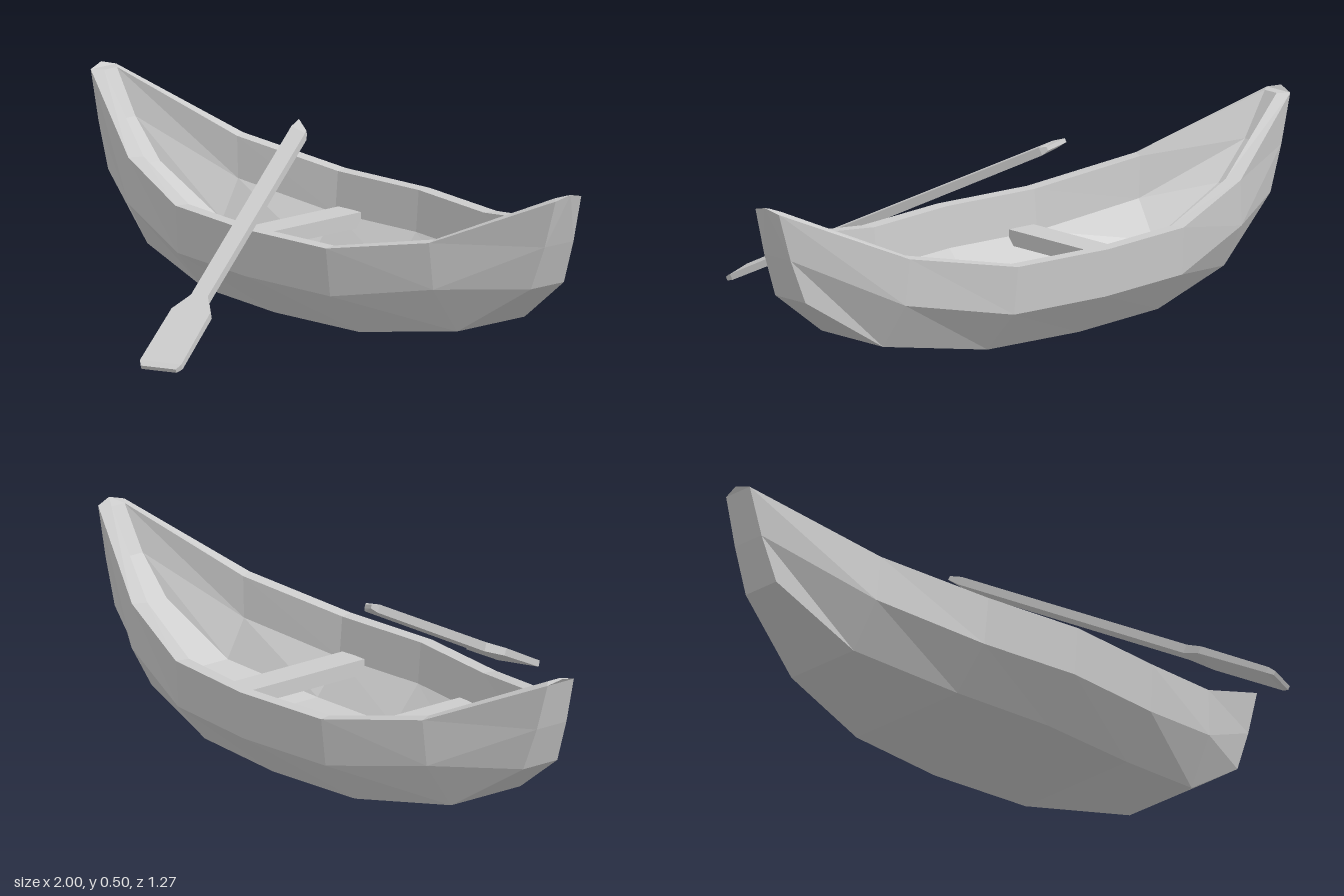
import * as THREE from 'three';

const grey = new THREE.MeshStandardMaterial({ color: 0xcccccc, flatShading: true });
const V = (x, y, z) => new THREE.Vector3(x, y, z);

// Flat-shaded skin over rings running toward +x; caps list the polygons closing the +x end.
// An optional nose point per end is addressed by index n in the caps.
function skin(name, rings, caps, noses = []) {
  const pos = [];
  const poly = (pts) => {
    for (let i = 1; i < pts.length - 1; i++)
      for (const p of [pts[0], pts[i], pts[i + 1]]) pos.push(p.x, p.y, p.z);
  };
  const n = rings[0].length;
  for (let i = 0; i < rings.length - 1; i++) {
    const a = rings[i], b = rings[i + 1];
    for (let j = 0; j < n; j++) {
      const k = (j + 1) % n;
      poly([a[j], a[k], b[k], b[j]]);
    }
  }
  const start = [...rings[0], noses[0]], end = [...rings.at(-1), noses[1]];
  for (const c of caps) {
    poly(c.map((j) => end[j]));
    poly([...c].reverse().map((j) => start[j]));
  }
  const geo = new THREE.BufferGeometry();
  geo.setAttribute('position', new THREE.Float32BufferAttribute(pos, 3));
  geo.computeVertexNormals();
  const mesh = new THREE.Mesh(geo, grey);
  mesh.name = name;
  return mesh;
}

// Hull stations from midship to stem: [x, y, half width] for each line of the hull
const stations = [
  { rim: [0, 0.27, 0.35], chine: [0, 0.13, 0.338], keel: [0, 0.007, 0.23],
    inRim: [0, 0.27, 0.31], inChine: [0, 0.15, 0.3], floor: [0, 0.045, 0.21] },
  { rim: [0.32, 0.27, 0.32], chine: [0.325, 0.13, 0.308], keel: [0.33, 0.01, 0.205],
    inRim: [0.31, 0.27, 0.28], inChine: [0.31, 0.15, 0.27], floor: [0.31, 0.05, 0.19] },
  { rim: [0.64, 0.33, 0.215], chine: [0.65, 0.195, 0.208], keel: [0.66, 0.062, 0.126],
    inRim: [0.62, 0.33, 0.175], inChine: [0.61, 0.21, 0.17], floor: [0.61, 0.1, 0.11] },
  { rim: [0.99, 0.49, 0.048], chine: [0.95, 0.35, 0.054], keel: [0.9, 0.22, 0.062],
    inRim: [0.96, 0.49, 0.024], inChine: [0.89, 0.36, 0.032], floor: [0.8, 0.245, 0.045] },
];

function hullRing(s, sx) {
  const half = [s.rim, s.chine, s.keel];
  const inner = [s.inRim, s.inChine, s.floor];
  const at = (side) => ([x, y, w]) => V(sx * x, y, side * w);
  return [
    ...half.map(at(1)), ...[...half].reverse().map(at(-1)),
    ...inner.map(at(-1)), ...[...inner].reverse().map(at(1)),
  ];
}

function createHull() {
  const rings = [
    ...stations.slice(1).reverse().map((s) => hullRing(s, -1)),
    ...stations.map((s) => hullRing(s, 1)),
  ];
  // stem faces, rim tip, then the inner end wall
  const caps = [[2, 3, 4, 1], [12, 0, 1, 4, 5], [12, 5, 6, 11, 0], [11, 6, 7, 10], [10, 7, 8, 9]];
  return skin('hull', rings, caps, [V(-1, 0.503, 0), V(1, 0.503, 0)]);
}

function createOar() {
  // [distance along the oar, half thickness, half width, slant of the cut]
  const sections = [
    [0, 0.006, 0.02, 0.022],
    [0.03, 0.012, 0.026, 0.012],
    [0.775, 0.013, 0.026, 0],
    [0.84, 0.011, 0.06, 0],
    [1.07, 0.009, 0.064, 0],
    [1.09, 0.006, 0.054, 0],
  ];
  const rings = sections.map(([d, t, w, s]) =>
    [[1, 1], [-1, 1], [-1, -1], [1, -1]].map(([a, b]) => V(d - s * b, a * t, b * w)));
  const oar = skin('oar', rings, [[0, 1, 2, 3]]);

  // Lean the oar from the grip down to the blade tip, blade edge level
  const grip = V(-0.135, 0.483, -0.285), tip = V(0.265, 0.011, 0.605);
  const along = tip.clone().sub(grip).normalize();
  const across = V(0, 1, 0).cross(along).negate().normalize();
  const normal = across.clone().cross(along);
  oar.quaternion.setFromRotationMatrix(new THREE.Matrix4().makeBasis(along, normal, across));
  oar.position.copy(grip);
  return oar;
}

export function createModel() {
  const model = new THREE.Group();
  model.name = 'rowingBoat';

  const boat = new THREE.Group();
  boat.name = 'boat';
  boat.position.z = -0.29;
  boat.add(createHull());

  // Two plank seats spanning the hull
  for (const side of [-1, 1]) {
    const seat = new THREE.Mesh(new THREE.BoxGeometry(0.09, 0.045, 0.556), grey);
    seat.name = side > 0 ? 'leftSeat' : 'rightSeat';
    seat.position.set(side * 0.255, 0.148, 0);
    boat.add(seat);
  }

  model.add(boat, createOar());
  return model;
}
